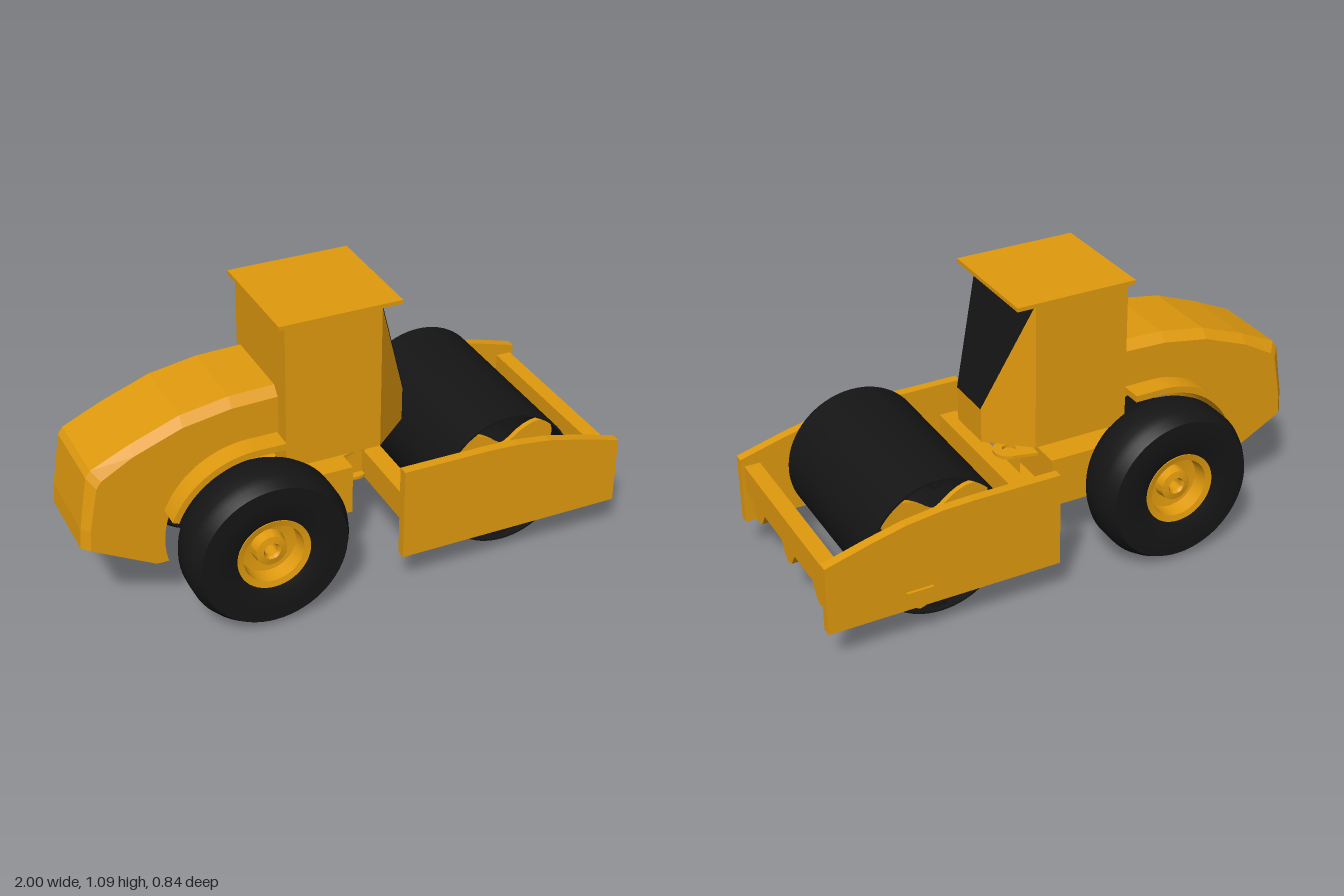
import * as THREE from 'three';
import { toCreasedNormals } from 'three/addons/utils/BufferGeometryUtils.js';
import { ConvexGeometry } from 'three/addons/geometries/ConvexGeometry.js';

const orange = new THREE.MeshStandardMaterial({ color: 0xe09a0e, side: THREE.DoubleSide });
const black = new THREE.MeshStandardMaterial({ color: 0x151515, side: THREE.DoubleSide });
const V = (x, y, z) => new THREE.Vector3(x, y, z);
const WX = -0.385, WY = 0.305; // wheel centre
const DX = 0.555, DY = 0.328; // drum centre

export function createModel() {
  const model = new THREE.Group();

  const add = (name, geo, mat = orange, parent = model) => {
    const mesh = new THREE.Mesh(geo, mat);
    mesh.name = name;
    parent.add(mesh);
    return mesh;
  };
  // Box given by its limits on each axis
  const box = (name, x0, x1, y0, y1, z0, z1, mat) =>
    add(name, new THREE.BoxGeometry(x1 - x0, y1 - y0, z1 - z0), mat)
      .position.set((x0 + x1) / 2, (y0 + y1) / 2, (z0 + z1) / 2);
  const shapeOf = (pts) => new THREE.Shape(pts.map(([x, y]) => new THREE.Vector2(x, y)));
  // Side profile extruded between two z limits
  const slab = (shape, z0, z1) => new THREE.ExtrudeGeometry(shape,
    { depth: z1 - z0, bevelEnabled: false, curveSegments: 20 }).translate(0, 0, z0);
  const lathe = (pts, segments = 48) => toCreasedNormals(new THREE.LatheGeometry(
    pts.map(([r, h]) => new THREE.Vector2(r, h)), segments).rotateX(Math.PI / 2), 0.5);

  // Engine hood with wheel arch; upper and rear edges chamfered by a vertex rule
  const hood = shapeOf([[-0.27, 0.825], [-0.44, 0.82], [-0.62, 0.79], [-0.8, 0.722],
    [-0.945, 0.655], [-0.963, 0.63], [-0.995, 0.43], [-1, 0.35], [-0.74, 0.225], [-0.694, 0.225]]);
  hood.absarc(WX, WY, 0.32, Math.PI + 0.25, 1.2, true);
  const hoodGeo = new THREE.ExtrudeGeometry(hood, { depth: 3, steps: 3, bevelEnabled: false, curveSegments: 24 });
  const p = hoodGeo.attributes.position;
  const layers = [-0.186, -0.155, 0.151, 0.182];
  for (let i = 0; i < p.count; i++) {
    const k = Math.round(p.getZ(i));
    p.setZ(i, layers[k]);
    if (k === 0 || k === 3) {
      if (p.getY(i) > 0.628) p.setY(i, p.getY(i) - 0.033);
      if (p.getX(i) < -0.9) p.setX(i, p.getX(i) + 0.027);
    }
  }
  hoodGeo.computeVertexNormals();
  add('engineHood', hoodGeo);

  // Chassis and articulated hitch
  box('chassis', -0.3, 0.02, 0.225, 0.42, -0.18, 0.18);
  for (const y of [0.272, 0.39]) {
    const plate = shapeOf([[-0.02, -0.09], [0.08, -0.06]]);
    plate.absarc(0.1, 0, 0.06, -Math.PI / 2, Math.PI / 2, false);
    plate.lineTo(-0.02, 0.09);
    plate.holes.push(new THREE.Path().absarc(0.1, 0, 0.025, 0, Math.PI * 2, true));
    add('hitchPlate', slab(plate, 0, 0.012).rotateX(-Math.PI / 2).translate(0, y, 0));
  }
  box('hitchTongue', 0.07, 0.14, 0.284, 0.39, -0.03, 0.03);

  // Cab: box rear, wedge front and sloping windscreen
  const cz = 0.006, hw = 0.22, fw = 0.092;
  box('cabBody', -0.26, 0.105, 0.518, 1.075, cz - hw, cz + hw);
  const wedge = [];
  for (const s of [-1, 1]) {
    wedge.push(V(0.105, 0.518, cz + s * hw), V(0.105, 1.075, cz + s * hw),
      V(0.255, 0.518, cz + s * fw), V(0.255, 0.65, cz + s * fw));
  }
  add('cabFront', new ConvexGeometry(wedge));
  const glass = new THREE.BufferGeometry().setFromPoints([
    wedge[3], wedge[7], wedge[5], wedge[1]].map((v) => v.clone().add(V(0.002, 0.001, 0))));
  glass.setIndex([0, 2, 1, 0, 3, 2]);
  glass.computeVertexNormals();
  add('windscreen', glass, black);
  box('roof', -0.282, 0.182, 1.075, 1.09, -0.228, 0.228);

  // Rear wheels and fenders
  const tyreGeo = lathe([[0.135, -0.09], [0.17, -0.104], [0.225, -0.108], [0.275, -0.106], [0.293, -0.075],
    [0.304, -0.045], [0.305, 0], [0.304, 0.045], [0.293, 0.075], [0.275, 0.106], [0.225, 0.108],
    [0.17, 0.104], [0.135, 0.09]], 64);
  const rimGeo = lathe([[0.025, -0.03], [0.1, -0.03], [0.12, -0.09], [0.138, -0.095], [0.138, 0.095],
    [0.114, 0.09], [0.106, 0.035], [0.064, 0.03], [0.058, 0.07], [0.032, 0.075], [0.025, 0.065], [0.025, -0.03]]);
  const fender = new THREE.Shape();
  fender.absarc(WX, WY, 0.345, Math.PI * 0.87, Math.PI / 2, true);
  fender.lineTo(-0.275, 0.65);
  fender.lineTo(-0.275, 0.625);
  fender.absarc(WX, WY, 0.32, Math.PI / 2, Math.PI * 0.87, false);
  for (const s of [1, -1]) {
    const wheel = new THREE.Group();
    wheel.name = s > 0 ? 'leftWheel' : 'rightWheel';
    wheel.position.set(WX, WY, s * 0.31);
    if (s < 0) wheel.rotation.y = Math.PI;
    add('tyre', tyreGeo, black, wheel);
    add('rim', rimGeo, orange, wheel);
    model.add(wheel);
    add('fender', s > 0 ? slab(fender, 0.17, 0.265) : slab(fender, -0.268, -0.17));
  }

  // Drum frame: side plates, cross beams and scraper teeth
  const side = shapeOf([[0.112, 0.145], [0.998, 0.145], [0.998, 0.41], [0.83, 0.457],
    [0.7, 0.488], [0.57, 0.505], [0.45, 0.51], [0.112, 0.51]]);
  add('leftFramePlate', slab(side, 0.375, 0.412));
  add('rightFramePlate', slab(side, -0.407, -0.37));
  box('frontBeam', 0.925, 0.985, 0.268, 0.38, -0.37, 0.375);
  box('rearBeam', 0.13, 0.2, 0.268, 0.38, -0.37, 0.375);
  const tooth = new THREE.Shape();
  tooth.moveTo(-0.08, 0);
  tooth.bezierCurveTo(-0.04, -0.05, -0.03, -0.088, 0, -0.088);
  tooth.bezierCurveTo(0.03, -0.088, 0.04, -0.05, 0.08, 0);
  for (const z of [-0.281, 0.005, 0.291]) {
    add('scraperTooth', slab(tooth, -0.018, 0.018).rotateY(Math.PI / 2)).position.set(0.955, 0.268, z);
  }
  const lug = shapeOf([[0.61, 0.22], [0.61, 0.185], [0.635, 0.155], [0.665, 0.145], [0.695, 0.16],
    [0.71, 0.185], [0.71, 0.22]]);
  add('plateLug', slab(lug, -0.418, -0.4));

  // Drum: thin open shell, lobed end webs and small inner brackets
  const drum = new THREE.Group();
  drum.name = 'drum';
  drum.position.set(DX, DY, 0);
  add('drumShell', lathe([[0.26, -0.357], [0.268, -0.357], [0.268, 0.359], [0.26, 0.359], [0.26, -0.357]], 72),
    black, drum);
  const lobes = [];
  for (let i = 0; i < 72; i++) {
    const a = (i / 72) * Math.PI * 2, r = 0.197 - 0.064 * Math.cos(4 * a);
    lobes.push([r * Math.cos(a), r * Math.sin(a)]);
  }
  for (const z of [-0.32, 0.32]) add('drumWeb', slab(shapeOf(lobes), z - 0.01, z + 0.01), orange, drum);
  const bracket = shapeOf([[-0.028, 0.26], [-0.028, 0.24], [-0.012, 0.225], [0.012, 0.225], [0.028, 0.24], [0.028, 0.26]]);
  bracket.holes.push(new THREE.Path().absarc(0, 0.24, 0.007, 0, Math.PI * 2, true));
  for (const turn of [0, Math.PI]) {
    add('drumBracket', slab(bracket, -0.34, 0.34), black, drum).rotation.z = turn;
  }
  model.add(drum);

  return model;
}
